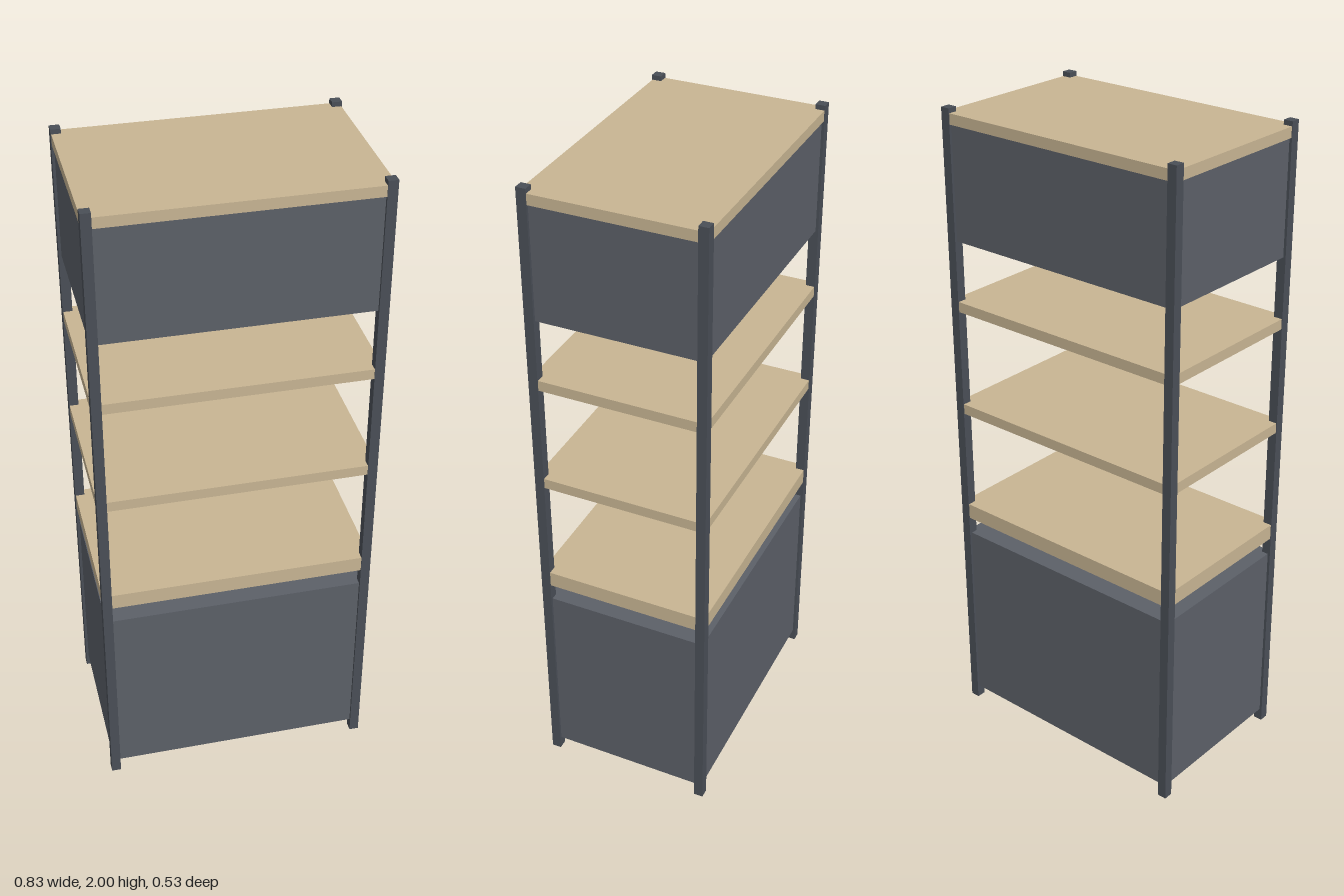
import * as THREE from 'three';

const HALF_W = 0.414, HALF_D = 0.267, POST = 0.029;
const paint = (color) => new THREE.MeshStandardMaterial({ color });
const wood = paint(0xc8b593), panel = paint(0x5c6068), steel = paint(0x4a4f57);

// Box spanning a height range, inset from the outer footprint
function slab(name, bottom, top, inset, material) {
  const mesh = new THREE.Mesh(
    new THREE.BoxGeometry(2 * (HALF_W - inset), top - bottom, 2 * (HALF_D - inset)), material);
  mesh.name = name;
  mesh.position.y = (bottom + top) / 2;
  return mesh;
}

export function createModel() {
  const unit = new THREE.Group();
  unit.name = 'shelfUnit';

  // Four corner posts
  for (const x of [-1, 1]) for (const z of [-1, 1]) {
    const post = new THREE.Mesh(new THREE.BoxGeometry(POST, 2, POST), steel);
    post.name = (z > 0 ? 'front' : 'back') + (x > 0 ? 'Left' : 'Right') + 'Post';
    post.position.set(x * (HALF_W - POST / 2), 1, z * (HALF_D - POST / 2));
    unit.add(post);
  }

  // Closed cabinets
  unit.add(slab('lowerCabinet', 0.04, 0.635, 0.008, panel));
  unit.add(slab('upperCabinet', 1.61, 1.955, 0.008, panel));

  // Wooden boards, worktop being the thickest
  unit.add(slab('worktop', 0.692, 0.741, 0.002, wood));
  unit.add(slab('lowerShelf', 1.058, 1.09, 0.002, wood));
  unit.add(slab('upperShelf', 1.392, 1.424, 0.002, wood));
  unit.add(slab('topBoard', 1.954, 1.986, 0.002, wood));
  return unit;
}
